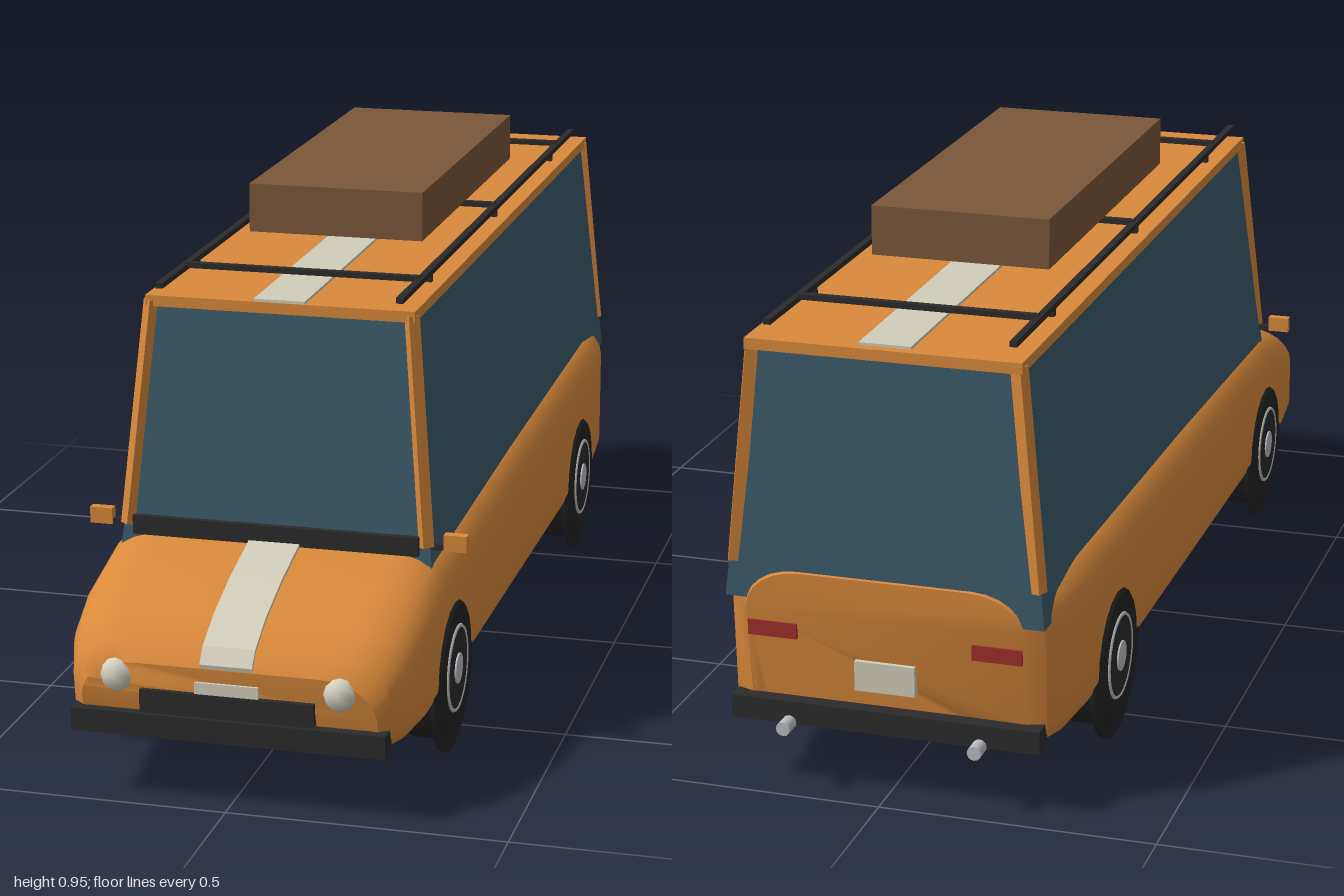
import * as THREE from 'three';
import { toCreasedNormals } from 'three/addons/utils/BufferGeometryUtils.js';

const mat = (name, color) => Object.assign(new THREE.MeshStandardMaterial({ color }), { name });

export function createModel() {
  const van = new THREE.Group();
  van.name = 'van';
  const paint = mat('orange paint', 0xd9893b);
  const glass = mat('window glass', 0x3a5a69);
  const black = mat('black trim', 0x2b2b2b);
  const rubber = mat('tyre rubber', 0x242424);
  const cream = mat('cream stripe', 0xd2cdba);
  const chrome = mat('chrome', 0xb9bdc1);
  const lens = mat('lamp lens', 0xd6d4c4);
  const brown = mat('brown luggage', 0x7b573a);
  const red = mat('tail lamp red', 0x9c2f2c);

  const add = (name, geometry, material, x = 0, y = 0, z = 0, parent = van) => {
    const mesh = new THREE.Mesh(geometry, material);
    mesh.name = name;
    mesh.position.set(x, y, z);
    parent.add(mesh);
    return mesh;
  };
  const box = (name, material, w, h, d, x, y, z) =>
    add(name, new THREE.BoxGeometry(w, h, d), material, x, y, z);
  // square bar between two points
  const bar = (name, material, a, b, size) => {
    const from = new THREE.Vector3(...a), to = new THREE.Vector3(...b);
    const mesh = add(name, new THREE.BoxGeometry(size, size, from.distanceTo(to)), material);
    mesh.position.copy(from).lerp(to, 0.5);
    mesh.lookAt(to);
  };

  // Lower body: rounded sections [z, half width, top, lean of the lower edge]
  const sections = [
    [0.985, 0.265, 0.255, -0.03], [0.965, 0.285, 0.285, -0.02], [0.9, 0.305, 0.32, 0],
    [0.8, 0.315, 0.355, 0], [0.66, 0.315, 0.39, 0], [0, 0.315, 0.41, 0], [-0.75, 0.315, 0.425, 0],
    [-0.87, 0.305, 0.42, 0], [-0.94, 0.285, 0.412, 0.015], [-0.963, 0.252, 0.405, 0.03],
  ];
  const bottom = 0.12, steps = 6;
  const positions = [], index = [];
  for (const [z, w, top, lean] of sections) {
    for (let q = 0; q < 4; q++) {
      const up = q < 2, rx = up ? 0.1 : 0.035, ry = up ? 0.07 : 0.04;
      const cx = (q === 0 || q === 3 ? 1 : -1) * (w - rx);
      const cy = up ? top - ry : bottom + ry;
      for (let s = 0; s <= steps; s++) {
        const a = (q + s / steps) * Math.PI / 2;
        const y = cy + ry * Math.sin(a);
        const low = 1 - (y - bottom) / (top - bottom);
        positions.push(cx + rx * Math.cos(a), y, z + lean * low * low);
      }
    }
  }
  const n = 4 * (steps + 1), last = (sections.length - 1) * n;
  for (let i = 0; i < sections.length - 1; i++) {
    for (let j = 0; j < n; j++) {
      const a = i * n + j, b = i * n + (j + 1) % n;
      index.push(a, a + n, b, b, a + n, b + n);
    }
  }
  for (let j = 1; j < n - 1; j++) index.push(0, j, j + 1, last, last + j + 1, last + j);
  const body = new THREE.BufferGeometry();
  body.setAttribute('position', new THREE.Float32BufferAttribute(positions, 3));
  body.setIndex(index);
  add('lowerBody', toCreasedNormals(body, 0.6), paint);

  // Glasshouse: a box narrowed towards the roof
  const cabin = new THREE.BoxGeometry(1, 1, 1);
  const p = cabin.attributes.position;
  for (let i = 0; i < p.count; i++) {
    const high = p.getY(i) > 0, front = p.getZ(i) > 0;
    p.setXYZ(i, Math.sign(p.getX(i)) * (high ? 0.24 : 0.29), high ? 0.805 : 0.35,
      front ? (high ? 0.635 : 0.68) : (high ? -0.938 : -0.961));
  }
  cabin.computeVertexNormals();
  add('windows', cabin, glass);
  box('roof', paint, 0.495, 0.02, 1.59, 0, 0.81, -0.153);
  box('cowl', black, 0.53, 0.035, 0.03, 0, 0.402, 0.67);

  // Stripes
  const hood = [[0.66, 0.39], [0.8, 0.355], [0.9, 0.32], [0.965, 0.285], [0.986, 0.258]];
  const stripe = new THREE.Shape([
    ...hood.map(([z, y]) => new THREE.Vector2(-z - 0.002, y + 0.006)),
    ...hood.slice().reverse().map(([z, y]) => new THREE.Vector2(-z, y - 0.002)),
  ]);
  const hoodStripe = add('hoodStripe',
    new THREE.ExtrudeGeometry(stripe, { depth: 0.094, bevelEnabled: false }), cream, 0.047);
  hoodStripe.rotation.y = Math.PI / 2;
  hoodStripe.position.x = -0.047;
  box('roofStripe', cream, 0.094, 0.006, 1.57, 0, 0.822, -0.145);

  // Parts that repeat on both sides
  for (const s of [1, -1]) {
    bar('frontPillar', paint, [s * 0.276, 0.4, 0.672], [s * 0.238, 0.81, 0.631], 0.022);
    bar('rearPillar', paint, [s * 0.276, 0.415, -0.95], [s * 0.238, 0.81, -0.934], 0.022);

    box('roofRail', black, 0.013, 0.01, 1.555, s * 0.22, 0.839, -0.132);
    for (const z of [0.42, -0.13, -0.68]) box('railFoot', black, 0.01, 0.02, 0.012, s * 0.22, 0.828, z);

    box('mirrorStem', black, 0.04, 0.01, 0.01, s * 0.292, 0.4, 0.664);
    box('mirror', paint, 0.042, 0.03, 0.018, s * 0.329, 0.41, 0.664);

    const lamp = add('headlight', new THREE.SphereGeometry(0.031, 8, 6), lens, s * 0.2, 0.229, 0.978);
    lamp.scale.z = 0.71;
    box('tailLight', red, 0.09, 0.028, 0.02, s * 0.205, 0.295, -0.952);

    const pipe = add('exhaust', new THREE.CylinderGeometry(0.013, 0.013, 0.1, 12), chrome, s * 0.175, 0.125, -0.95);
    pipe.rotation.x = Math.PI / 2;

    // Wheels, built along y and turned to face outward
    for (const z of [0.61, -0.583]) {
      const wheel = new THREE.Group();
      wheel.name = 'wheel';
      wheel.position.set(s * 0.28, 0.154, z);
      wheel.rotation.z = -s * Math.PI / 2;
      van.add(wheel);
      const disc = (name, r, h, y, m) =>
        add(name, new THREE.CylinderGeometry(r, r, h, 20), m, 0, y, 0, wheel);
      const profile = [[0, -0.04], [0.118, -0.04], [0.13, -0.03], [0.13, 0.03], [0.118, 0.04], [0, 0.04]];
      add('tyre', toCreasedNormals(new THREE.LatheGeometry(
        profile.map(([x, y]) => new THREE.Vector2(x, y)), 20), 0.5), rubber, 0, 0, 0, wheel);
      disc('wheelFlange', 0.154, 0.008, 0.03, rubber);
      disc('rim', 0.076, 0.004, 0.04, black);
      disc('innerRim', 0.075, 0.004, -0.04, glass);
      disc('hub', 0.028, 0.008, 0.041, chrome);
      const ring = add('rimRing', new THREE.TorusGeometry(0.077, 0.004, 6, 28), chrome, 0, 0.04, 0, wheel);
      ring.rotation.x = Math.PI / 2;
    }
  }

  // Roof rack and luggage
  for (const z of [0.49, -0.135, -0.76]) box('rackCrossbar', black, 0.44, 0.01, 0.014, 0, 0.842, z);
  box('luggage', brown, 0.334, 0.092, 0.777, 0, 0.9, -0.132);

  // Front and rear fittings
  box('frontBumper', black, 0.565, 0.042, 0.045, 0, 0.143, 0.968);
  box('rearBumper', black, 0.565, 0.042, 0.045, 0, 0.143, -0.945);
  box('grille', black, 0.312, 0.042, 0.024, 0, 0.188, 0.978);
  box('frontPlate', cream, 0.114, 0.05, 0.009, 0, 0.205, 0.983);
  box('rearPlate', cream, 0.11, 0.055, 0.02, 0, 0.225, -0.95);

  return van;
}
